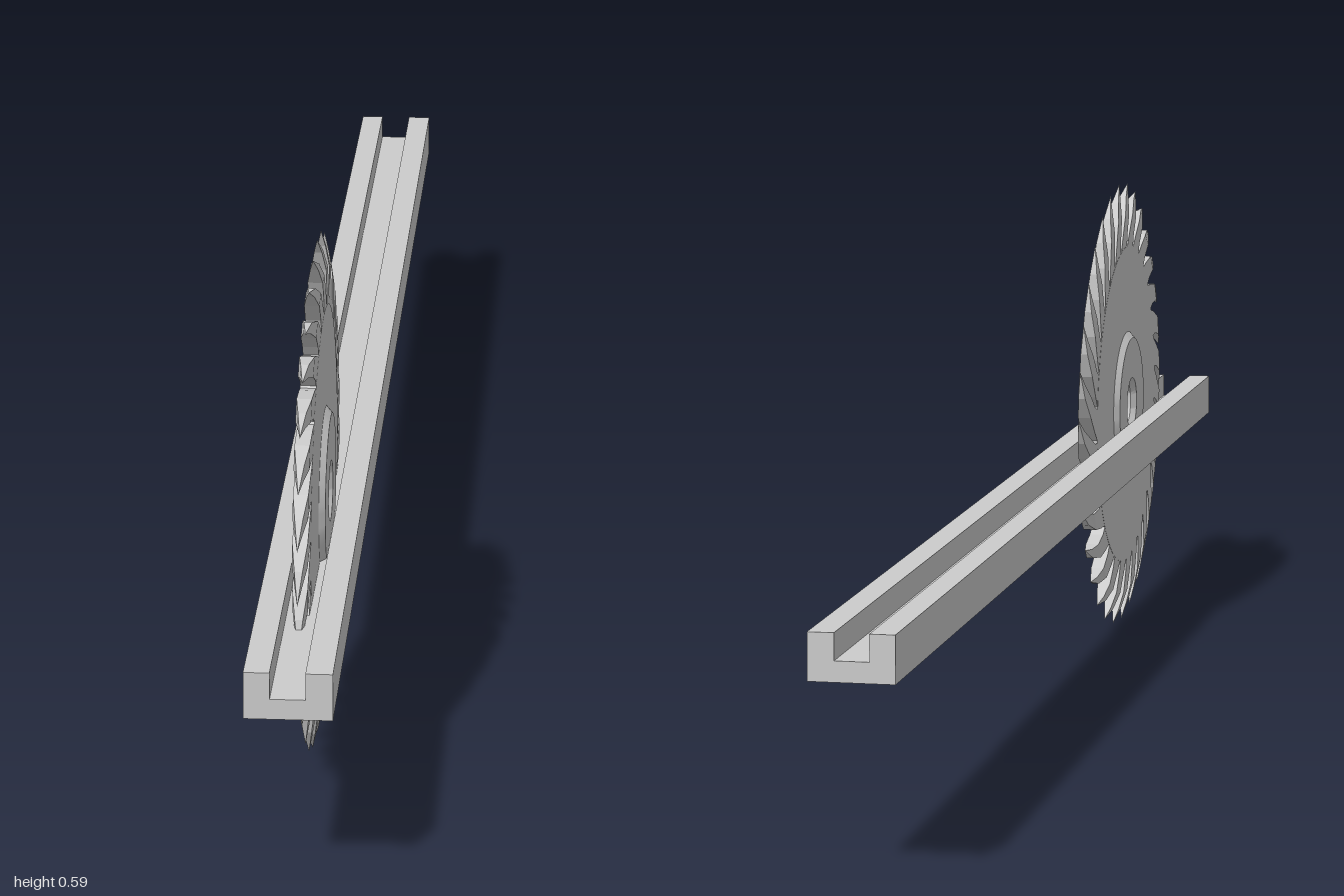
import * as THREE from 'three';
import { toCreasedNormals } from 'three/addons/utils/BufferGeometryUtils.js';

const grey = new THREE.MeshStandardMaterial({ color: 0xcccccc });
const greyFlat = new THREE.MeshStandardMaterial({ color: 0xcccccc, flatShading: true });

function add(parent, name, geometry, material = grey) {
  const mesh = new THREE.Mesh(geometry, material);
  mesh.name = name;
  parent.add(mesh);
  return mesh;
}

// Revolved ring around the x axis from a closed [radius, offset] profile
function ring(profile) {
  const points = [...profile, profile[0]].map(([r, x]) => new THREE.Vector2(r, x));
  const geometry = new THREE.LatheGeometry(points, 72).rotateZ(-Math.PI / 2);
  return toCreasedNormals(geometry, 0.5);
}

// One hooked tooth: four-cornered sections that lean forward and close to a point
function toothGeometry() {
  // radius, trailing angle, leading angle, half thickness
  const sections = [
    [0.205, -0.02, 0.20, 0.0088],
    [0.228, 0.07, 0.22, 0.0088],
    [0.256, 0.17, 0.275, 0.0085],
    [0.278, 0.265, 0.325, 0.0045],
    [0.297, 0.38, 0.38, 0],
  ];
  const at = (x, r, a) => [x, r * Math.cos(a), r * Math.sin(a)];
  const rings = sections.map(([r, back, lead, t]) =>
    [at(t, r, lead), at(t, r, back), at(-t, r, back), at(-t, r, lead)]);
  const positions = [];
  for (let s = 0; s < rings.length - 1; s++) {
    const low = rings[s], high = rings[s + 1];
    for (let i = 0; i < 4; i++) {
      const j = (i + 1) % 4;
      positions.push(...low[i], ...low[j], ...high[j]);
      if (s < rings.length - 2) positions.push(...low[i], ...high[j], ...high[i]);
    }
  }
  const geometry = new THREE.BufferGeometry();
  geometry.setAttribute('position', new THREE.Float32BufferAttribute(positions, 3));
  geometry.computeVertexNormals();
  return geometry;
}

export function createModel() {
  const model = new THREE.Group();
  model.name = 'sawOnRail';

  // Long U-shaped rail with a groove on top
  const section = new THREE.Shape([
    [-0.048, 0.22], [0.047, 0.22], [0.047, 0.273], [0.018, 0.273],
    [0.018, 0.243], [-0.02, 0.243], [-0.02, 0.273], [-0.048, 0.273],
  ].map(([x, y]) => new THREE.Vector2(x, y)));
  const rail = new THREE.ExtrudeGeometry(section, { depth: 2, bevelEnabled: false });
  add(model, 'rail', rail.translate(0, 0, -1));

  // Circular blade standing in the groove
  const blade = new THREE.Group();
  blade.name = 'blade';
  blade.position.set(-0.0035, 0.298, 0.535);
  model.add(blade);

  add(blade, 'disc', ring([[0.05, -0.009], [0.213, -0.009], [0.213, 0.009], [0.05, 0.009]]));

  // Thicker hub with bevelled rim and a chamfered bore
  add(blade, 'hub', ring([
    [0.028, -0.009], [0.035, -0.016], [0.089, -0.016], [0.097, -0.009],
    [0.097, 0.009], [0.089, 0.016], [0.035, 0.016], [0.028, 0.009],
  ]));

  // Ring of forward-leaning teeth
  const tooth = toothGeometry();
  const count = 30;
  for (let i = 0; i < count; i++) {
    add(blade, 'tooth', tooth, greyFlat).rotation.x = (i / count) * Math.PI * 2;
  }
  return model;
}
